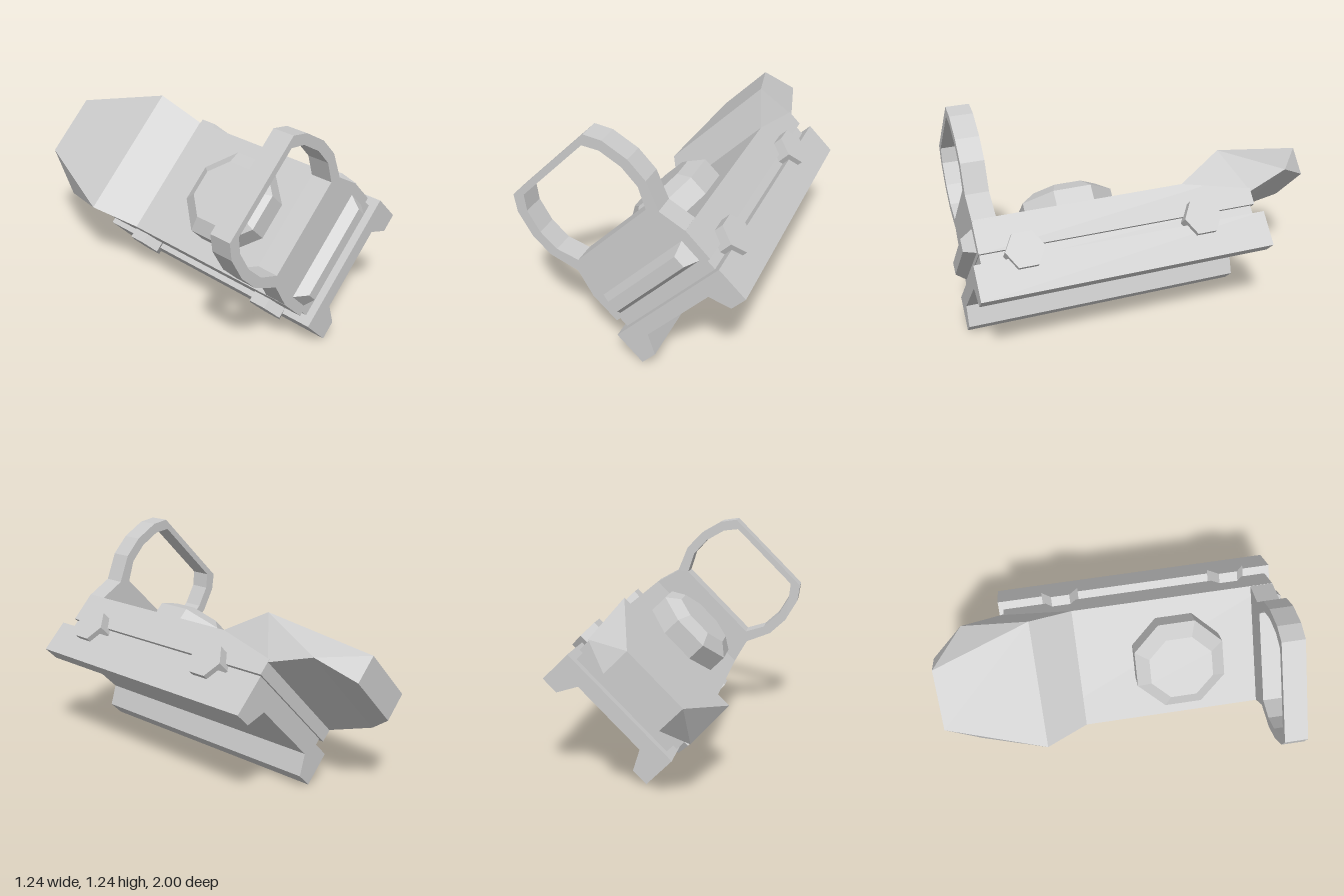
import * as THREE from 'three';

const mat = new THREE.MeshStandardMaterial({ color: 0xcccccc, flatShading: true });

export function createModel() {
  const root = new THREE.Group();
  root.name = 'reflexSight';

  // the whole sight leans 45 degrees; inside, x is width and y is height
  const sight = new THREE.Group();
  sight.name = 'tiltedSight';
  sight.rotation.z = Math.PI / 4;
  sight.position.set(0.31, 0.31, 0);
  root.add(sight);

  const add = (name, geometry, x = 0, y = 0, z = 0) => {
    const mesh = new THREE.Mesh(geometry, mat);
    mesh.name = name;
    mesh.position.set(x, y, z);
    sight.add(mesh);
    return mesh;
  };

  // closed outline mirrored from its right half
  const mirrored = (half) => [
    ...half,
    ...half.map(([x, y]) => [-x, y]).reverse(),
  ].map(([x, y]) => new THREE.Vector2(x, y));

  const extrude = (half, z0, z1, holeHalf) => {
    const shape = new THREE.Shape(mirrored(half));
    if (holeHalf) shape.holes.push(new THREE.Path(mirrored(holeHalf)));
    const g = new THREE.ExtrudeGeometry(shape, { depth: z1 - z0, bevelEnabled: false });
    return g.translate(0, 0, z0);
  };

  // rail clamp with a tapered channel underneath
  add('railClamp', extrude(
    [[0.228, 0.058], [0.285, -0.051], [0.385, -0.051], [0.385, 0.141]], -0.61, 0.98));

  // recessed seam, then the main housing
  add('seam', new THREE.BoxGeometry(0.67, 0.08, 1.5), 0, 0.17, 0.185);
  add('housing', extrude([[0.358, 0.196], [0.361, 0.375]], -0.58, 0.94));

  // window frame
  add('windowFrame', extrude(
    [[0.361, 0.37], [0.319, 0.523], [0.382, 0.672], [0.386, 0.803], [0.348, 0.946], [0.29, 1.025]],
    0.815, 0.94,
    [[0.269, 0.566], [0.325, 0.675], [0.33, 0.795], [0.297, 0.919], [0.241, 0.99]]));

  // bevelled block on the front face
  const block = new THREE.BoxGeometry(0.608, 0.127, 0.06);
  const p = block.attributes.position;
  for (let i = 0; i < p.count; i++) {
    if (p.getZ(i) > 0) p.setXY(i, p.getX(i) * 0.84, p.getY(i) * 0.53);
  }
  block.computeVertexNormals();
  add('frontBlock', block, 0, 0.2825, 0.97);

  // octagonal button with a chamfered rim
  const turn = Math.PI / 8;
  add('buttonBase', new THREE.CylinderGeometry(0.27, 0.27, 0.123, 8).rotateY(turn), 0, 0.4265, 0.365);
  add('buttonCap', new THREE.CylinderGeometry(0.19, 0.27, 0.054, 8).rotateY(turn), 0, 0.515, 0.365);

  // rear hood: right-hand points from the front edge, over the top, to the underside
  const pts = [
    [0.361, 0.375, -0.2], [0.392, 0.521, -0.44], [0.187, 0.522, -1],
    [0.187, 0.36, -1], [0.357, 0.358, -0.82], [0.357, 0.27, -0.58],
  ];
  const n = pts.length;
  const index = [];
  for (let i = 0; i < n - 1; i++) {
    index.push(i, i + 1, i + 1 + n, i, i + 1 + n, i + n);
  }
  for (const [a, b, c] of [[0, 5, 1], [5, 4, 1], [4, 2, 1], [4, 3, 2]]) {
    index.push(a, b, c, a + n, c + n, b + n);
  }
  const hood = new THREE.BufferGeometry();
  const all = [...pts, ...pts.map(([x, y, z]) => [-x, y, z])];
  hood.setAttribute('position', new THREE.Float32BufferAttribute(all.flat(), 3));
  hood.setIndex(index);
  const flatHood = hood.toNonIndexed();
  flatHood.computeVertexNormals();
  add('rearHood', flatHood);

  // hexagonal clamp bolts on both sides
  for (const side of [-1, 1]) {
    for (const z of [0.715, -0.25]) {
      const bolt = new THREE.CylinderGeometry(0.104, 0.104, 0.08, 6).rotateZ(Math.PI / 2);
      add('clampBolt', bolt, side * 0.376, 0.168, z);
    }
  }
  return root;
}
